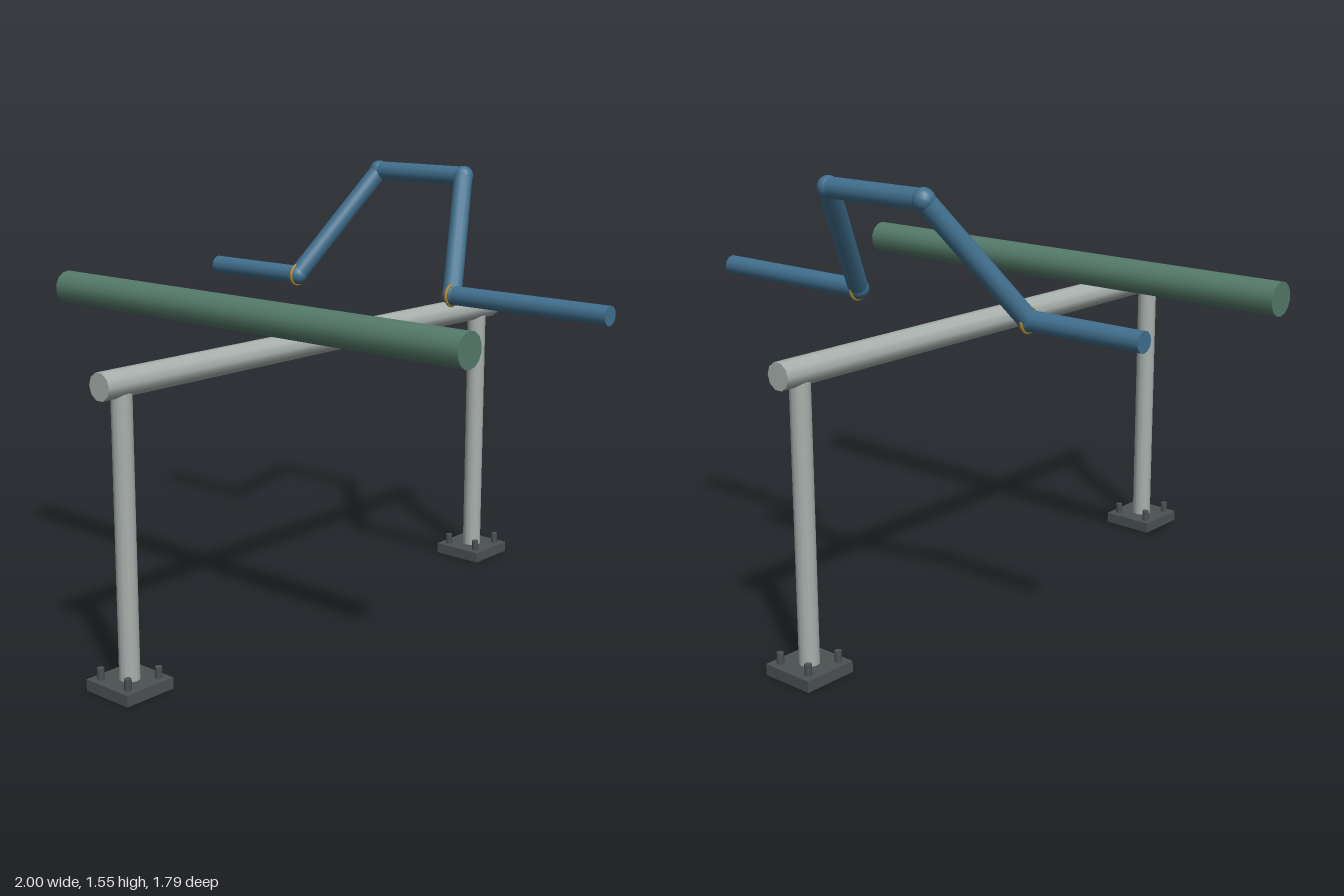
import * as THREE from 'three';

const mat = (name, color) => {
  const m = new THREE.MeshStandardMaterial({ color });
  m.name = name;
  return m;
};

export function createModel() {
  const steel = mat('galvanised steel', 0xa9b1ae);
  const dark = mat('dark iron', 0x4c5152);
  const green = mat('green pipe paint', 0x547a6a);
  const blue = mat('blue pipe paint', 0x41708f);
  const brass = mat('brass weld', 0xb08a2e);

  const model = new THREE.Group();
  model.name = 'pipeRack';

  const add = (parent, name, geometry, material, x, y, z) => {
    const mesh = new THREE.Mesh(geometry, material);
    mesh.name = name;
    mesh.position.set(x, y, z);
    parent.add(mesh);
    return mesh;
  };
  // Round bar between two points
  const bar = (parent, name, a, b, r, material, sides = 12) => {
    const dir = b.clone().sub(a);
    const mid = a.clone().add(b).multiplyScalar(0.5);
    const mesh = add(parent, name, new THREE.CylinderGeometry(r, r, dir.length(), sides), material, mid.x, mid.y, mid.z);
    mesh.quaternion.setFromUnitVectors(new THREE.Vector3(0, 1, 0), dir.normalize());
    return mesh;
  };
  const v = (x, y, z) => new THREE.Vector3(x, y, z);

  // Cross beam
  bar(model, 'crossBeam', v(-0.99, 0.99, 0), v(0.99, 0.99, 0), 0.045, steel, 10);

  // Posts with bolted base plates
  for (const s of [-1, 1]) {
    const support = new THREE.Group();
    support.name = s > 0 ? 'leftSupport' : 'rightSupport';
    support.position.x = s * 0.904;
    model.add(support);
    bar(support, 'post', v(0, 0.03, 0), v(0, 0.97, 0), 0.034, steel);
    add(support, 'basePlate', new THREE.BoxGeometry(0.192, 0.038, 0.192), dark, 0, 0.019, 0);
    for (const x of [-0.064, 0.064]) for (const z of [-0.064, 0.064])
      add(support, 'anchorBolt', new THREE.CylinderGeometry(0.012, 0.012, 0.046, 8), dark, x, 0.053, z);
  }

  // Straight pipe
  bar(model, 'straightPipe', v(-0.365, 1.126, -0.895), v(-0.365, 1.126, 0.895), 0.058, green, 14);

  // Offset pipe that rises sideways in a loop
  const loop = new THREE.Group();
  loop.name = 'offsetPipe';
  model.add(loop);
  const path = [
    v(0.395, 1.126, 0.895), v(0.395, 1.126, 0.26), v(0.683, 1.51, 0.085),
    v(0.683, 1.51, -0.31), v(0.395, 1.126, -0.47), v(0.395, 1.126, -0.895),
  ];
  for (let i = 0; i < path.length - 1; i++) {
    bar(loop, 'pipeRun', path[i], path[i + 1], 0.034, blue);
    if (i > 0) add(loop, 'elbow', new THREE.SphereGeometry(0.037, 14, 10), blue, path[i].x, path[i].y, path[i].z);
  }
  add(loop, 'elbow', new THREE.SphereGeometry(0.037, 14, 10), blue, ...path[4].toArray());

  // Weld rings at the lower elbows
  for (const p of [path[1], path[4]])
    add(loop, 'weldRing', new THREE.TorusGeometry(0.037, 0.006, 6, 20), brass, p.x, p.y, p.z);

  return model;
}
